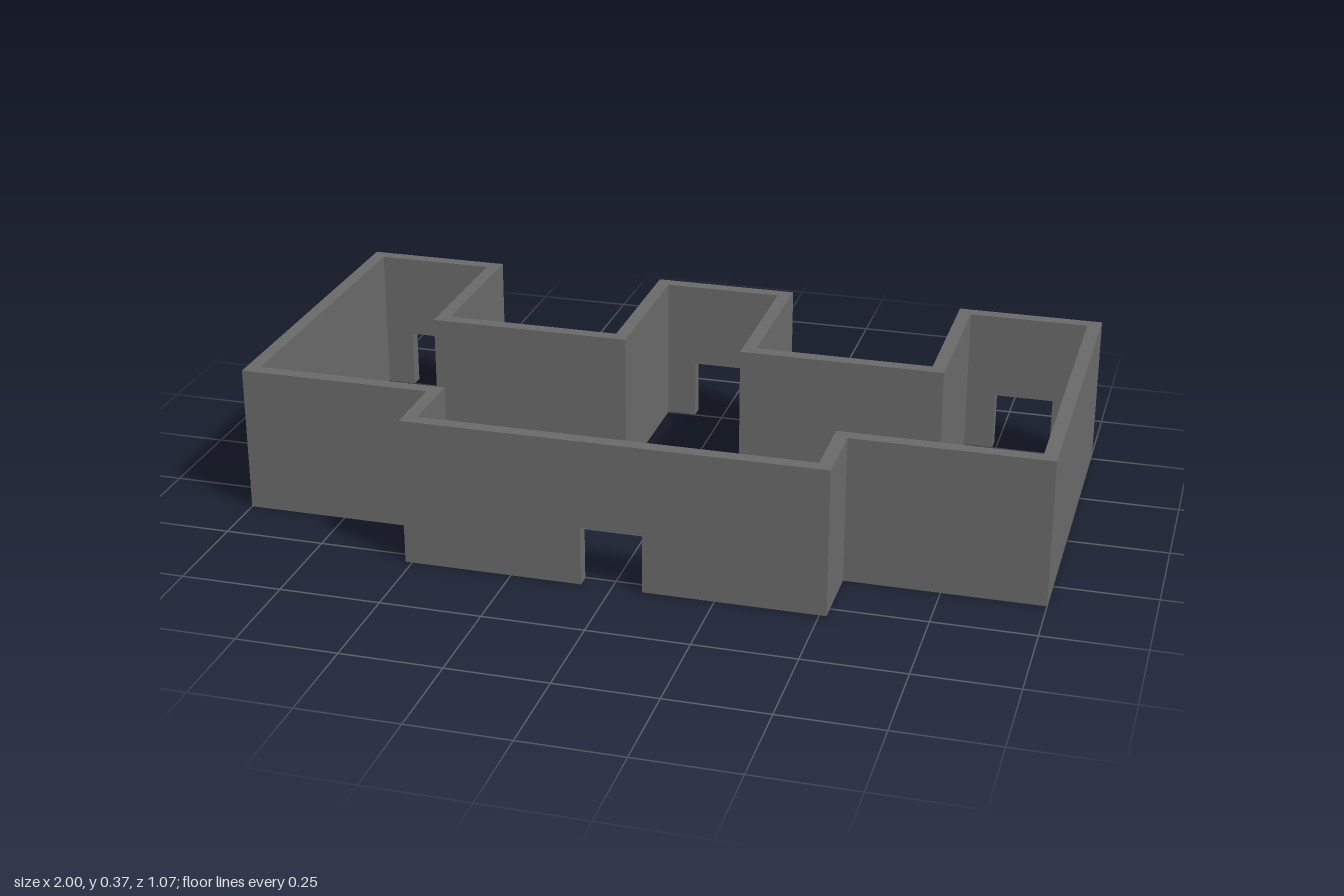
import * as THREE from 'three';

const HEIGHT = 0.37, THICK = 0.034, DOOR_W = 0.15, DOOR_H = 0.15, END_Z = 0.537;

// Outer plan of the +x half as [x, z], from the front round to the back
const half = [
  [0.517, END_Z], [0.517, 0.353], [1, 0.353], [1, -END_Z],
  [0.631, -END_Z], [0.631, -0.127], [0.184, -0.127], [0.184, -END_Z],
];
const outline = [...half, ...half.map(([x, z]) => [-x, z]).reverse()]
  .map(([x, z]) => new THREE.Vector2(x, z));

// Wall elevation, with an optional doorway cut up from the ground
function wallShape(length, hasDoor) {
  const points = [[0, 0]];
  if (hasDoor) {
    const l = (length - DOOR_W) / 2, r = (length + DOOR_W) / 2;
    points.push([l, 0], [l, DOOR_H], [r, DOOR_H], [r, 0]);
  }
  points.push([length, 0], [length, HEIGHT], [0, HEIGHT]);
  return new THREE.Shape(points.map(([x, y]) => new THREE.Vector2(x, y)));
}

// Wall along local x, outer face at z = 0, with its inner ends mitred to the corners
function wallGeometry(length, hasDoor, startTurn, endTurn) {
  const geometry = new THREE.ExtrudeGeometry(wallShape(length, hasDoor), { depth: THICK, bevelEnabled: false });
  geometry.translate(0, 0, -THICK);
  const pos = geometry.attributes.position;
  for (let i = 0; i < pos.count; i++) {
    if (pos.getZ(i) > -THICK / 2) continue;
    const x = pos.getX(i);
    if (x < 1e-5) pos.setX(i, startTurn * THICK);
    else if (x > length - 1e-5) pos.setX(i, length - endTurn * THICK);
  }
  geometry.computeVertexNormals();
  return geometry;
}

export function createModel() {
  const group = new THREE.Group();
  group.name = 'buildingWalls';
  const material = new THREE.MeshStandardMaterial({ color: 0x696969 });
  const n = outline.length;
  const direction = (i) => outline[(i + 1) % n].clone().sub(outline[i]).normalize();
  // +1 at an outward corner, -1 at an inward one
  const turn = (i) => -Math.sign(direction((i + n - 1) % n).cross(direction(i % n)));

  outline.forEach((a, i) => {
    const b = outline[(i + 1) % n];
    const d = direction(i);
    // Doors sit in the front wall and in the end of each back wing
    const isEnd = Math.abs(a.y) === END_Z && a.y === b.y;
    const wall = new THREE.Mesh(wallGeometry(a.distanceTo(b), isEnd, turn(i), turn(i + 1)), material);
    wall.name = !isEnd ? 'wall' : a.y > 0 ? 'frontDoorWall' : 'wingDoorWall';
    wall.position.set(a.x, 0, a.y);
    wall.rotation.y = Math.atan2(-d.y, d.x);
    group.add(wall);
  });
  return group;
}
